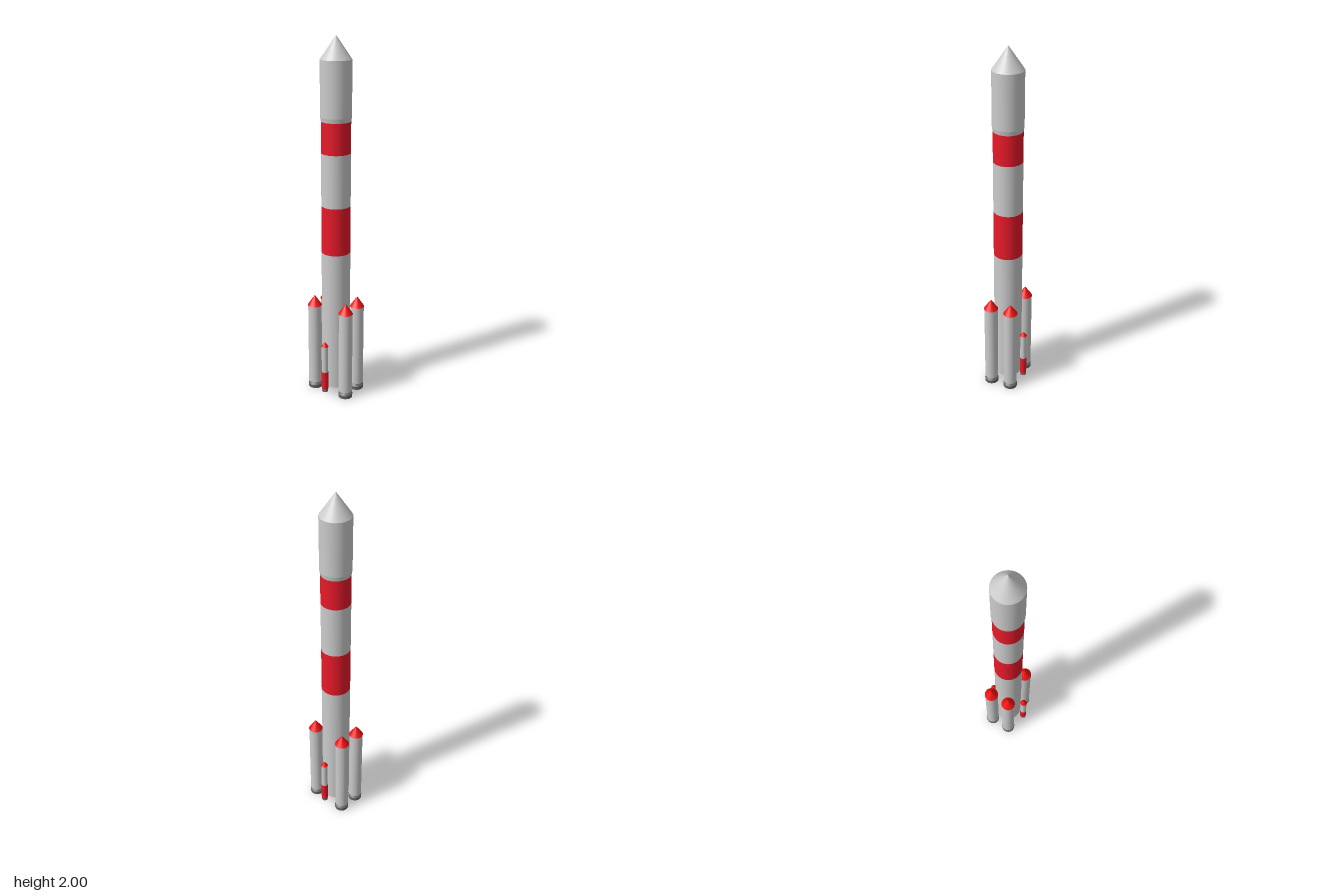
import * as THREE from 'three';

const grey = new THREE.MeshStandardMaterial({ color: 0xcccccc });
const red = new THREE.MeshStandardMaterial({ color: 0xe81929 });
const capRed = new THREE.MeshStandardMaterial({ color: 0xf01010 });
const dark = new THREE.MeshStandardMaterial({ color: 0x666666 });

// One round section between heights y0 and y1, with bottom and top radii
function section(parent, name, y0, y1, r0, r1, material, open = true) {
  const geometry = new THREE.CylinderGeometry(r1, r0, y1 - y0, 40, 1, open);
  const mesh = new THREE.Mesh(geometry, material);
  mesh.name = name;
  mesh.position.y = (y0 + y1) / 2;
  parent.add(mesh);
}

function subgroup(parent, name, x, z) {
  const group = new THREE.Group();
  group.name = name;
  group.position.set(x, 0, z);
  parent.add(group);
  return group;
}

// Large strap-on booster with red cap and flared nozzle
function addBooster(parent, name, x, z) {
  const g = subgroup(parent, name, x, z);
  section(g, 'boosterBody', 0.037, 0.518, 0.038, 0.038, grey, false);
  section(g, 'boosterCap', 0.516, 0.575, 0.04, 0, capRed, false);
  section(g, 'nozzleNeck', 0.028, 0.038, 0.03, 0.03, dark);
  section(g, 'nozzleShoulder', 0.02, 0.031, 0.04, 0.03, dark);
  section(g, 'nozzleRim', 0, 0.02, 0.039, 0.04, dark, false);
}

// Small booster with a red lower half
function addSmallBooster(parent, name, x, z) {
  const g = subgroup(parent, name, x, z);
  section(g, 'smallBoosterBody', 0.148, 0.308, 0.018, 0.018, grey);
  section(g, 'smallBoosterBand', 0.04, 0.148, 0.019, 0.019, red, false);
  section(g, 'smallBoosterCap', 0.306, 0.335, 0.02, 0, capRed, false);
  section(g, 'smallNozzleNeck', 0.034, 0.04, 0.012, 0.012, dark);
  section(g, 'smallNozzle', 0.024, 0.035, 0.018, 0.015, dark, false);
}

export function createModel() {
  const rocket = new THREE.Group();
  rocket.name = 'rocket';

  // Core stage: stacked grey and red bands
  const core = subgroup(rocket, 'core', 0, -0.006);
  const r = 0.079;
  section(core, 'lowerStage', 0.037, 0.843, r, r, grey, false);
  section(core, 'lowerBand', 0.843, 1.108, r, r, red);
  section(core, 'upperStage', 1.108, 1.397, r, r, grey);
  section(core, 'upperBand', 1.397, 1.565, r, r, red);

  // Payload fairing and nose
  section(core, 'fairingCollar', 1.565, 1.588, r, 0.083, grey);
  section(core, 'fairing', 1.588, 1.88, 0.083, 0.083, grey);
  section(core, 'noseCone', 1.88, 2, 0.083, 0, grey);

  // Boosters around the base
  addBooster(rocket, 'frontLeftBooster', 0.104, 0.05);
  addBooster(rocket, 'frontRightBooster', -0.106, 0.05);
  addBooster(rocket, 'backLeftBooster', 0.1, -0.07);
  addBooster(rocket, 'backRightBooster', -0.102, -0.066);
  addSmallBooster(rocket, 'frontSmallBooster', 0, 0.103);
  addSmallBooster(rocket, 'backSmallBooster', 0, -0.106);

  return rocket;
}
